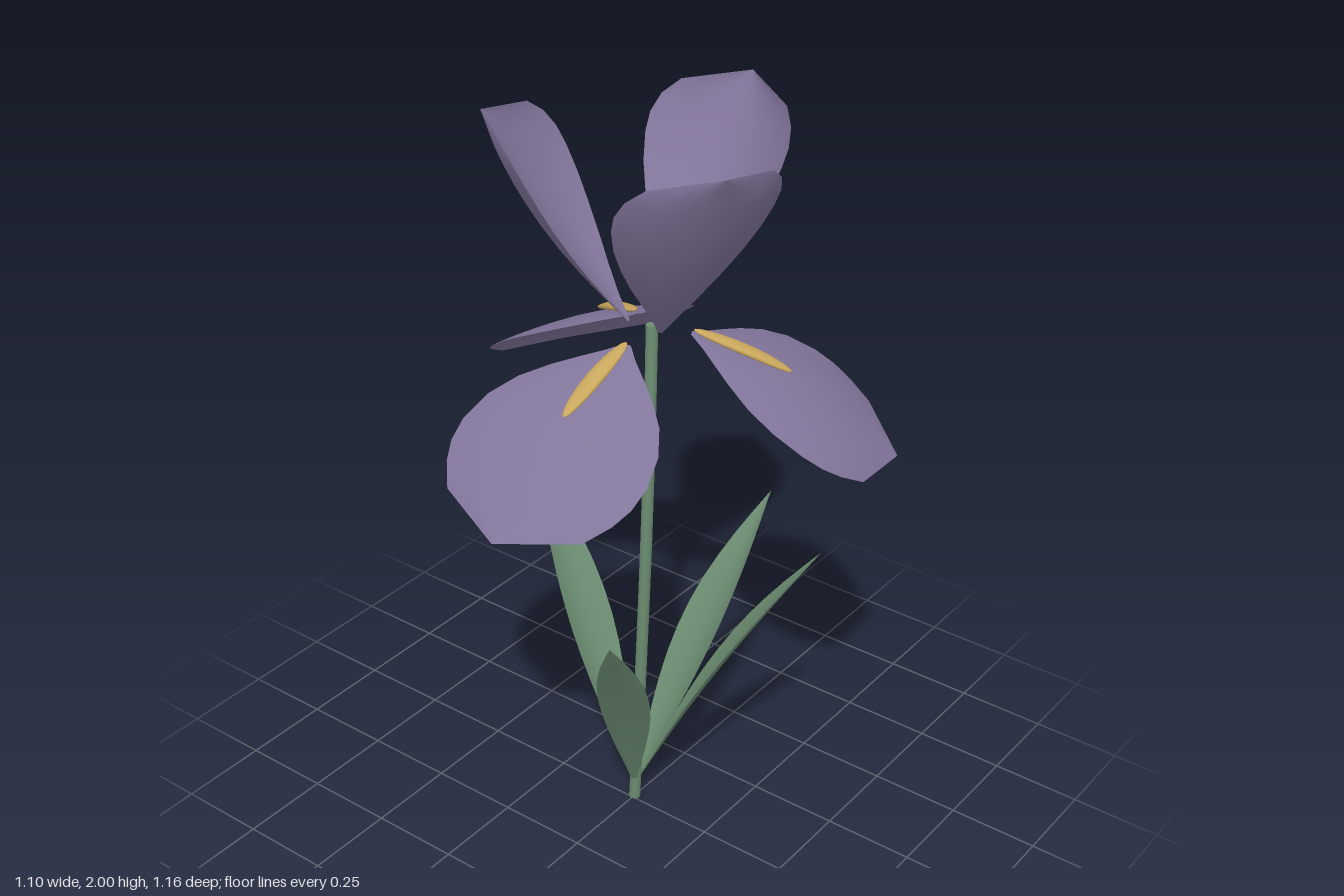
import * as THREE from 'three';

const mat = (name, color, side = THREE.FrontSide) => {
  const m = new THREE.MeshStandardMaterial({ color, side });
  m.name = name;
  return m;
};

// Arched centre line in the (radius, height) plane, with its unit normal
function spine([r0, y0], [r1, y1], arch) {
  const dr = r1 - r0, dy = y1 - y0, len = Math.hypot(dr, dy);
  const n = [-dy / len, dr / len];
  const at = (t, lift = 0) => {
    const h = arch * Math.sin(Math.PI * t) + lift;
    return [r0 + dr * t + n[0] * h, y0 + dy * t + n[1] * h];
  };
  return at;
}

// Blade from [t, half width] sections along a spine; cup bends the edges along the normal
function blade(at, sections, cup) {
  const cols = 8;
  const geo = new THREE.PlaneGeometry(1, 1, cols, sections.length - 1);
  const pos = geo.attributes.position;
  for (let i = 0; i < pos.count; i++) {
    const [t, w] = sections[Math.floor(i / (cols + 1))];
    const u = (i % (cols + 1)) / cols * 2 - 1;
    const [r, y] = at(t, cup * w * u * u);
    pos.setXYZ(i, r, y, u * w);
  }
  geo.computeVertexNormals();
  return geo;
}

// Flattened spindle lying on a spine
function spindle(at, t0, t1, width, thick) {
  const geo = new THREE.SphereGeometry(1, 12, 14);
  const pos = geo.attributes.position;
  for (let i = 0; i < pos.count; i++) {
    const t = t0 + (t1 - t0) * (pos.getY(i) + 1) / 2;
    const [r, y] = at(t, 0.01 + pos.getX(i) * thick);
    pos.setXYZ(i, r, y, pos.getZ(i) * width);
  }
  geo.computeVertexNormals();
  return geo;
}

export function createModel() {
  const model = new THREE.Group();
  const violet = mat('petal violet', 0x83769c, THREE.DoubleSide);
  const green = mat('leaf green', 0x6b8b70, THREE.DoubleSide);
  const gold = mat('gold', 0xc9a75c, THREE.DoubleSide);

  const add = (parent, name, geo, material, angle = 0) => {
    const mesh = new THREE.Mesh(geo, material);
    mesh.name = name;
    mesh.rotation.y = -THREE.MathUtils.degToRad(angle);
    parent.add(mesh);
    return mesh;
  };

  // Gently bowed stem
  const path = new THREE.CatmullRomCurve3([
    new THREE.Vector3(0.01, 0, 0),
    new THREE.Vector3(0.018, 0.4, 0.013),
    new THREE.Vector3(0.036, 0.85, 0.018),
    new THREE.Vector3(0.06, 1.2, 0.01),
    new THREE.Vector3(0.08, 1.455, 0),
  ]);
  add(model, 'stem', new THREE.TubeGeometry(path, 24, 0.0165, 10), green);
  for (const [y, x] of [[0, 0.01], [1.455, 0.08]]) {
    const cap = add(model, 'stemEnd', new THREE.CircleGeometry(0.0165, 10), green);
    cap.rotation.x = y ? -Math.PI / 2 : Math.PI / 2;
    cap.position.set(x, y, 0);
  }

  // Leaves: azimuth, reach, tip height
  const leaves = new THREE.Group();
  leaves.name = 'leaves';
  leaves.position.x = 0.01;
  model.add(leaves);
  const leafSections = [];
  for (let i = 0; i <= 12; i++) {
    const t = i / 12;
    leafSections.push([t, 0.004 * (1 - t) + 0.066 * Math.sin(Math.PI * Math.pow(t, 1.1))]);
  }
  for (const [angle, reach, top] of [[150, 0.48, 0.84], [13, 0.488, 0.82], [65, 0.492, 0.885], [-72, 0.484, 0.87]]) {
    add(leaves, 'leaf', blade(spine([0.005, 0.05], [reach, top], 0.02), leafSections, 0.3), green, angle);
  }

  // Flower head, three-fold around the stem top
  const flower = new THREE.Group();
  flower.name = 'flower';
  flower.position.x = 0.08;
  model.add(flower);

  const fallSpine = spine([0.1, 1.44], [0.63, 1.125], 0.04);
  const fallSections = [[0, 0.01], [0.06, 0.05], [0.13, 0.105], [0.2, 0.158], [0.3, 0.22],
    [0.42, 0.265], [0.56, 0.285], [0.66, 0.28], [0.75, 0.257], [0.855, 0.21], [1, 0.0005]];
  const standardSpine = spine([0.06, 1.46], [0.415, 2.0], -0.025);
  const standardSections = [[0, 0.008], [0.1, 0.04], [0.2, 0.078], [0.3, 0.117], [0.42, 0.157],
    [0.54, 0.189], [0.65, 0.207], [0.73, 0.21], [0.81, 0.196], [0.885, 0.16], [1, 0.0005]];

  const fall = blade(fallSpine, fallSections, -0.12);
  const beard = spindle(fallSpine, 0, 0.43, 0.025, 0.011);
  const standard = blade(standardSpine, standardSections, 0.38);
  for (const angle of [0, 120, 240]) {
    add(flower, 'standardPetal', standard, violet, angle);
    add(flower, 'fallPetal', fall, violet, angle + 60);
    add(flower, 'beard', beard, gold, angle + 60);
  }

  // Golden centre
  const centre = add(flower, 'flowerCentre', new THREE.SphereGeometry(0.04, 16, 12), gold);
  centre.scale.y = 1.25;
  centre.position.y = 1.57;

  return model;
}
